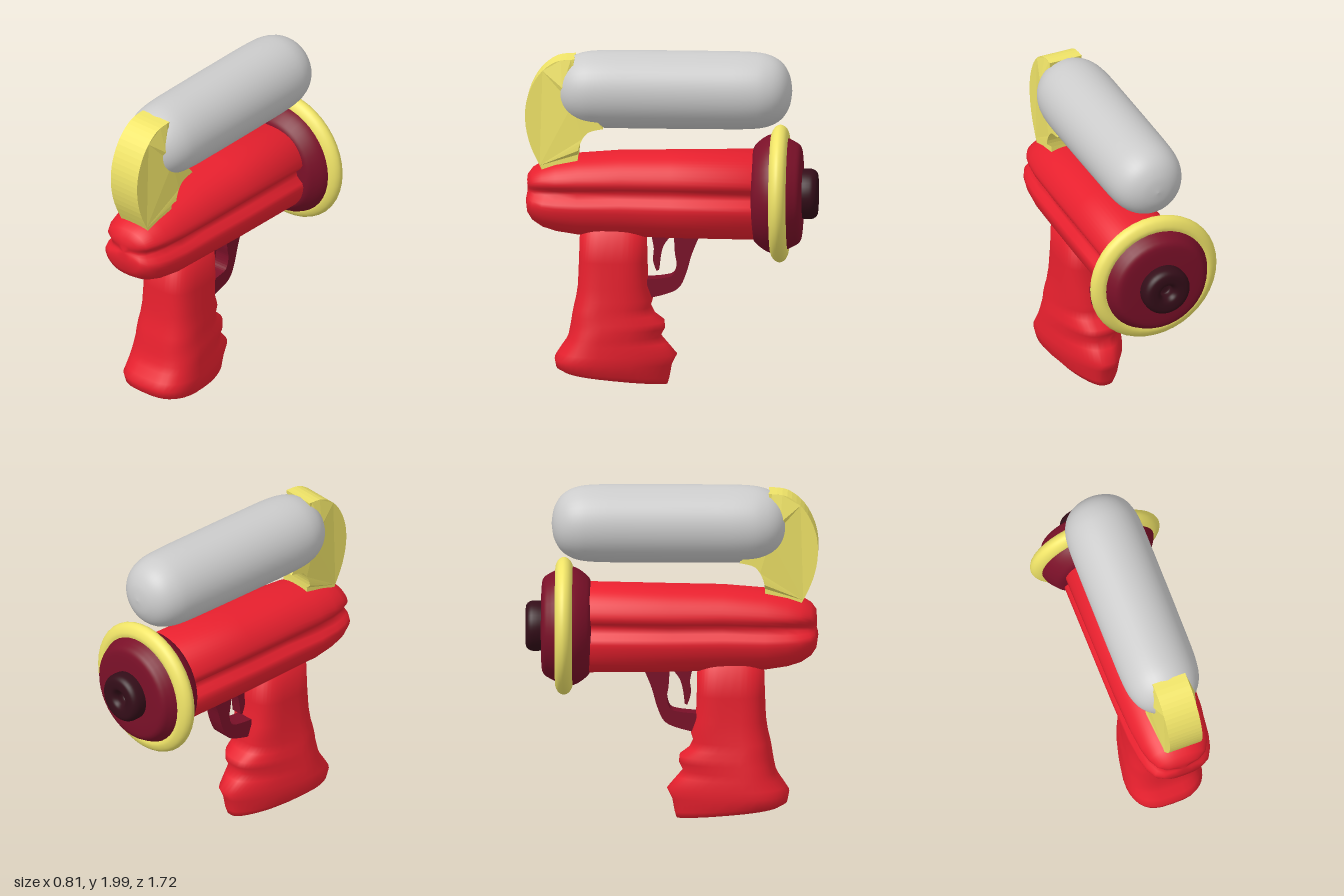
import * as THREE from 'three';

const mat = (color) => new THREE.MeshStandardMaterial({ color, side: THREE.DoubleSide });
const RED = mat(0xe8202e), MAROON = mat(0x7a1028), YELLOW = mat(0xf0e468), DARK = mat(0x330d18), GREY = mat(0xcccccc);

function part(name, geometry, material) {
  const mesh = new THREE.Mesh(geometry, material);
  mesh.name = name;
  return mesh;
}

// Skin closed rings of points into a smooth capped surface
function loft(rings) {
  const n = rings[0].length, pos = [], idx = [];
  rings.forEach((r) => r.forEach((p) => pos.push(p.x, p.y, p.z)));
  for (let i = 0; i < rings.length - 1; i++) {
    for (let j = 0; j < n; j++) {
      const a = i * n + j, b = i * n + (j + 1) % n;
      idx.push(a, b, b + n, a, b + n, a + n);
    }
  }
  [0, rings.length - 1].forEach((i) => {
    const c = rings[i].reduce((s, p) => s.add(p), new THREE.Vector3()).divideScalar(n);
    const k = pos.length / 3;
    pos.push(c.x, c.y, c.z);
    for (let j = 0; j < n; j++) {
      const a = i * n + j, b = i * n + (j + 1) % n;
      if (i === 0) idx.push(k, b, a); else idx.push(k, a, b);
    }
  });
  const g = new THREE.BufferGeometry();
  g.setAttribute('position', new THREE.Float32BufferAttribute(pos, 3));
  g.setIndex(idx);
  g.computeVertexNormals();
  return g;
}

// Signed power for rounded-box cross-sections
const sp = (v, e) => Math.sign(v) * Math.abs(v) ** e;

// Lathe along -z: profile of [radius, distance toward the muzzle]
function turned(profile, y, smooth = true) {
  let pts = profile.map(([r, d]) => new THREE.Vector2(r, d));
  if (smooth) {
    pts = new THREE.SplineCurve(pts).getPoints(profile.length * 5);
    pts.forEach((p) => { p.x = Math.max(p.x, 0); });
  }
  return new THREE.LatheGeometry(pts, 40).rotateX(-Math.PI / 2).translate(0, y, 0);
}

// Extruded side outline given as [z, y] points, centred on x = 0
function plate(outline, width) {
  const shape = new THREE.Shape(outline.map(([z, y]) => new THREE.Vector2(z, y)));
  return new THREE.ExtrudeGeometry(shape, { depth: width, bevelEnabled: false })
    .translate(0, 0, -width / 2).rotateY(-Math.PI / 2);
}

// Smooth run through [z, y] points
const curve = (pts, n = 24) => new THREE.SplineCurve(pts.map((p) => new THREE.Vector2(...p)))
  .getPoints(n).map((p) => [p.x, p.y]);

// Barrel: rounded tube with a groove along each side
function barrelGeometry() {
  const stations = [ // z, half width, top, bottom
    [-0.52, 0.255, 1.41, 0.88], [0, 0.25, 1.4, 0.885], [0.3, 0.248, 1.395, 0.895],
    [0.55, 0.24, 1.375, 0.9], [0.68, 0.225, 1.35, 0.92], [0.76, 0.205, 1.325, 0.945],
    [0.82, 0.175, 1.29, 0.985], [0.85, 0.13, 1.25, 1.03], [0.862, 0.06, 1.2, 1.1]];
  return loft(stations.map(([z, w, top, bottom]) => {
    const ring = [], cy = (top + bottom) / 2, h = (top - bottom) / 2;
    for (let j = 0; j < 64; j++) {
      const t = j / 64 * Math.PI * 2;
      const y = cy + h * sp(Math.sin(t), 0.9);
      const groove = Math.exp(-(((y - 1.165) / 0.04) ** 2));
      ring.push(new THREE.Vector3(w * sp(Math.cos(t), 0.8) * (1 - 0.24 * groove), y, z - (z > 0.7 ? 0.02 * groove : 0)));
    }
    return ring;
  }));
}

// Grip: flared handle with finger bumps along the front edge
function gripGeometry() {
  const stations = [ // y, back z, front z, half width, downward tilt at the front edge
    [0.075, 0.55, 0.06, 0.12, 0.07], [0.085, 0.64, 0.025, 0.2, 0.08], [0.11, 0.68, 0.015, 0.235, 0.07],
    [0.16, 0.69, 0, 0.25, 0.04], [0.2, 0.665, -0.03, 0.247, 0.02], [0.25, 0.63, 0.03, 0.24, 0],
    [0.29, 0.61, 0.065, 0.235, 0], [0.34, 0.6, 0.04, 0.228, 0], [0.38, 0.593, 0.045, 0.22, 0],
    [0.42, 0.587, 0.1, 0.213, 0], [0.47, 0.577, 0.125, 0.205, 0], [0.52, 0.565, 0.11, 0.197, 0],
    [0.6, 0.553, 0.14, 0.185, 0], [0.75, 0.547, 0.145, 0.175, 0], [0.96, 0.54, 0.15, 0.17, 0]];
  return loft(stations.map(([y, back, front, w, tilt]) => {
    const ring = [], cz = (back + front) / 2, d = (back - front) / 2;
    const taper = 0.6 * THREE.MathUtils.clamp((0.7 - y) / 0.5, 0, 1);
    for (let j = 0; j < 40; j++) {
      const t = j / 40 * Math.PI * 2, c = sp(Math.cos(t), 0.65);
      const f = (1 - c) / 2;
      ring.push(new THREE.Vector3(w * sp(Math.sin(t), 0.65) * (1 - taper * f * f), y - tilt * f, cz + d * c));
    }
    return ring;
  }));
}

// Bracket: curved rear strap that widens where it hugs the tank
function bracketGeometry() {
  const outer = curve([[0.57, 1.965], [0.68, 1.95], [0.78, 1.87], [0.845, 1.74], [0.86, 1.6], [0.83, 1.45], [0.76, 1.3]]);
  const inner = curve([[0.55, 1.35], [0.54, 1.45], [0.49, 1.53], [0.4, 1.555]], 12);
  const g = plate([...outer, ...inner, [0.45, 1.62], [0.58, 1.7], [0.64, 1.8], [0.58, 1.9]], 0.205);
  const p = g.attributes.position;
  for (let i = 0; i < p.count; i++) {
    const flare = p.getZ(i) < 0.7 && p.getY(i) > 1.42 && p.getY(i) < 1.85 ? 1.32 : 1;
    p.setX(i, p.getX(i) * flare + 0.012);
  }
  g.computeVertexNormals();
  return g;
}

export function createModel() {
  const model = new THREE.Group();
  model.name = 'toyBlaster';

  // Body
  model.add(part('barrel', barrelGeometry(), RED));
  model.add(part('grip', gripGeometry(), RED));

  // Tank and its strap
  const tank = turned([[0, -0.69], [0.09, -0.675], [0.165, -0.625], [0.21, -0.545], [0.228, -0.43],
    [0.231, -0.2], [0.231, 0.2], [0.228, 0.46], [0.21, 0.575], [0.165, 0.65], [0.09, 0.695], [0, 0.71]], 1.768);
  model.add(part('tank', tank, GREY));
  model.add(part('tankBracket', bracketGeometry(), YELLOW));

  // Muzzle
  model.add(part('muzzleDisc', turned([[0.2, 0.475], [0.27, 0.482], [0.31, 0.515], [0.345, 0.57], [0.355, 0.63],
    [0.33, 0.68], [0.31, 0.72], [0.285, 0.755], [0.24, 0.768], [0.12, 0.772], [0, 0.772]], 1.15), MAROON));
  model.add(part('muzzleRing', turned([[0.31, 0.595], [0.35, 0.585], [0.39, 0.605], [0.406, 0.637],
    [0.39, 0.67], [0.35, 0.688], [0.31, 0.68]], 1.15), YELLOW));
  model.add(part('nozzle', turned([[0.145, 0.755], [0.149, 0.8], [0.145, 0.835], [0.125, 0.858], [0.09, 0.862],
    [0.06, 0.855], [0.042, 0.83], [0.036, 0.79], [0, 0.785]], 1.15), DARK));

  // Trigger and guard
  const guardOuter = curve([[-0.165, 0.9], [-0.12, 0.79], [-0.085, 0.67], [-0.04, 0.585], [0.05, 0.545], [0.16, 0.52]]);
  const guardInner = curve([[0.16, 0.635], [0.05, 0.645], [-0.01, 0.665], [-0.03, 0.73], [-0.02, 0.8], [-0.015, 0.9]]);
  model.add(part('triggerGuard', plate([...guardOuter, ...guardInner], 0.11), MAROON));
  const trigger = [...curve([[0.12, 0.9], [0.105, 0.82], [0.11, 0.75], [0.09, 0.685]], 12),
    ...curve([[0.075, 0.69], [0.065, 0.77], [0.045, 0.84], [0, 0.9]], 12)];
  model.add(part('trigger', plate(trigger, 0.07), MAROON));

  return model;
}
